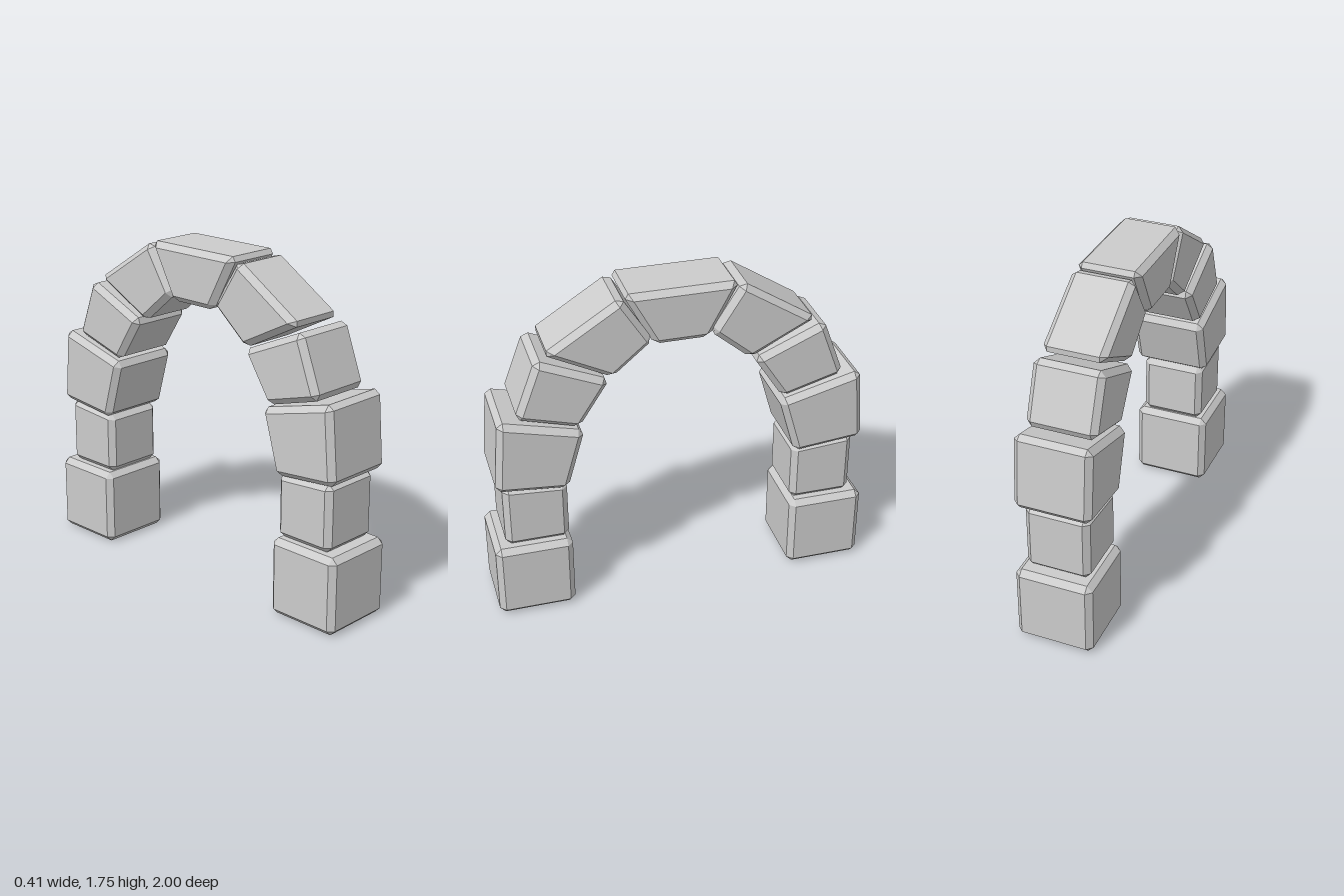
import * as THREE from 'three';
import { ConvexGeometry } from 'three/addons/geometries/ConvexGeometry.js';

const BEVEL = 0.03;

// Each stone: x range and the four [z, y] corners of its side profile
const STONES = [
  { name: 'baseStone', x: [-0.208, 0.2], profile: [[1, 0], [0.595, 0], [0.595, 0.41], [1, 0.41]] },
  { name: 'pillarStone', x: [-0.174, 0.163], profile: [[0.938, 0.41], [0.605, 0.41], [0.605, 0.74], [0.938, 0.765]] },
  { name: 'springerStone', x: [-0.2, 0.203], profile: [[0.976, 0.769], [0.604, 0.734], [0.51, 1.06], [0.943, 1.172]] },
  { name: 'lowerArchStone', x: [-0.181, 0.184], profile: [[0.854, 1.164], [0.53, 1.071], [0.37, 1.318], [0.737, 1.477]] },
  { name: 'upperArchStone', x: [-0.158, 0.168], profile: [[0.7, 1.494], [0.354, 1.318], [0.145, 1.494], [0.305, 1.746]] },
];
const KEYSTONE = { name: 'keystone', x: [-0.165, 0.164], profile: [[0.295, 1.755], [0.14, 1.467], [-0.14, 1.467], [-0.295, 1.755]] };

const material = new THREE.MeshStandardMaterial({ color: 0xcccccc, flatShading: true });

// Wedge block with every edge chamfered
function stone({ name, x, profile }, side = 1) {
  const corners = profile.map(([z, y]) => new THREE.Vector2(z * side, y));
  const points = [];
  corners.forEach((p, i) => {
    const u = corners[(i + 1) % 4].clone().sub(p).normalize();
    const v = corners[(i + 3) % 4].clone().sub(p).normalize();
    const inset = p.clone().addScaledVector(u.clone().add(v), BEVEL / Math.abs(u.cross(v)));
    const alongU = p.clone().addScaledVector(u, BEVEL);
    const alongV = p.clone().addScaledVector(v, BEVEL);
    x.forEach((end, k) => {
      const inner = end + (k === 0 ? BEVEL : -BEVEL);
      points.push(
        new THREE.Vector3(end, inset.y, inset.x),
        new THREE.Vector3(inner, alongU.y, alongU.x),
        new THREE.Vector3(inner, alongV.y, alongV.x),
      );
    });
  });
  const mesh = new THREE.Mesh(new ConvexGeometry(points), material);
  mesh.name = name;
  return mesh;
}

export function createModel() {
  const arch = new THREE.Group();
  arch.name = 'stoneArch';

  // Two mirrored legs
  for (const side of [1, -1]) {
    const leg = new THREE.Group();
    leg.name = side > 0 ? 'frontLeg' : 'backLeg';
    STONES.forEach((s) => leg.add(stone(s, side)));
    arch.add(leg);
  }

  // Stone that closes the arch
  arch.add(stone(KEYSTONE));
  return arch;
}
